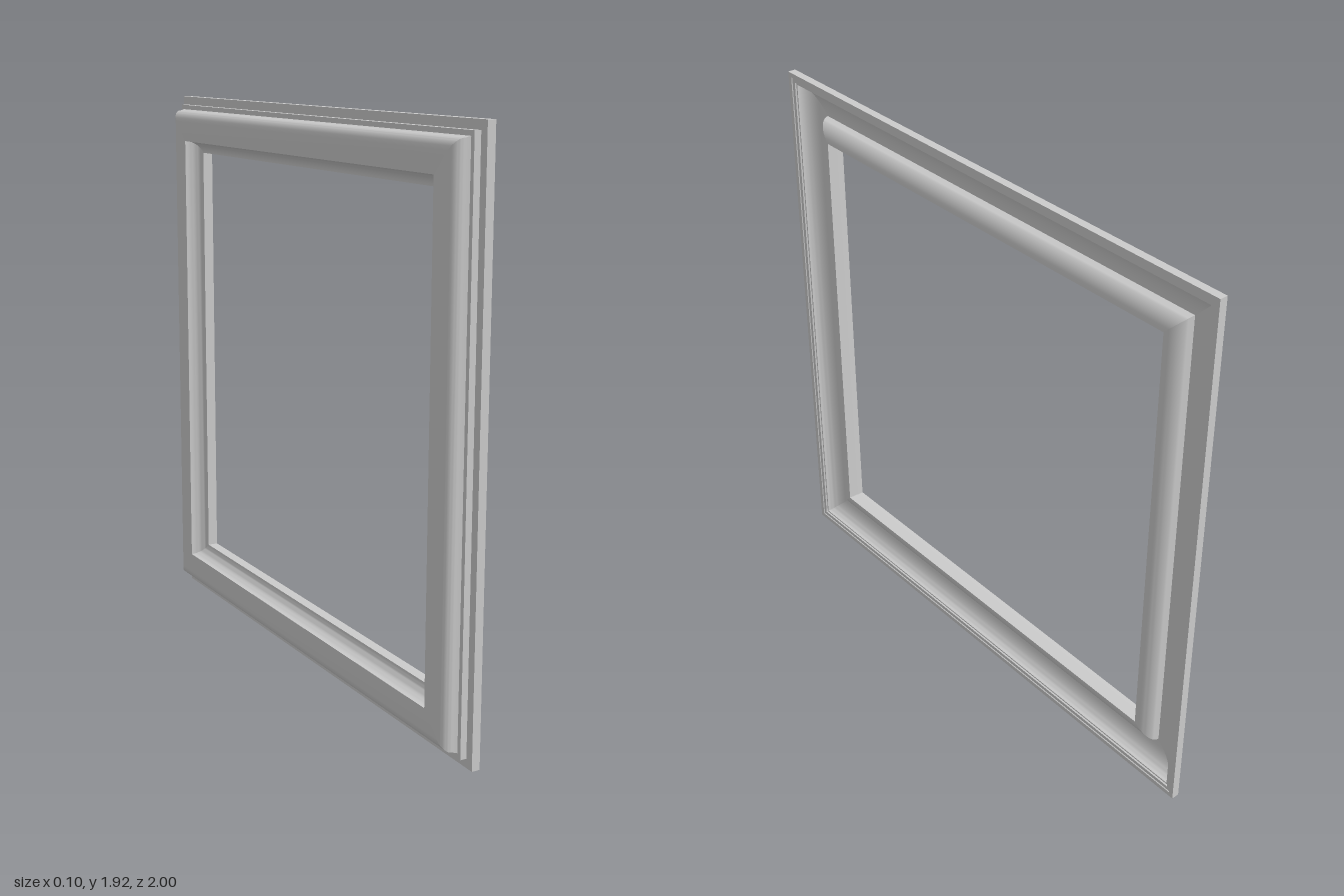
import * as THREE from 'three';
import { toCreasedNormals } from 'three/addons/utils/BufferGeometryUtils.js';

const HEIGHT = 1.925, DEPTH = 2;

// Quarter ellipse points [inset, x] around a centre, between two angles in degrees
function arc(ct, cx, rt, rx, from, to, n = 12) {
  return Array.from({ length: n + 1 }, (_, i) => {
    const a = THREE.MathUtils.degToRad(from + (to - from) * i / n);
    return [ct + rt * Math.cos(a), cx + rx * Math.sin(a)];
  });
}

// Moulding section: inset from the outer edge towards the opening, and x
const profile = [
  // face: stepped outer fillet, cove, then ovolo up to the opening
  [0, 0.05], [0.016, 0.05], [0.018, 0.047], [0.031, 0.047], [0.033, 0.042],
  ...arc(0.13, 0.042, 0.092, 0.052, 180, 270),
  ...arc(0.2, -0.01, 0.065, 0.052, 180, 90),
  // back: hollow behind the ovolo, flat, rounded shoulder, rebate steps
  ...arc(0.2, -0.048, 0.042, 0.054, 90, 180),
  ...arc(0.088, -0.015, 0.038, 0.035, 270, 180),
  [0.046, 0], [0.03, 0], [0.03, 0.022], [0, 0.022],
];

// Corners as signs of y and z, anticlockwise seen from +x
const corners = [[-1, 1], [-1, -1], [1, -1], [1, 1]];

function cornerPoint([sy, sz], [t, x]) {
  return [x, HEIGHT / 2 + sy * (HEIGHT / 2 - t), sz * (DEPTH / 2 - t)];
}

// One length of moulding, mitred at both corners
function railGeometry(a, b) {
  const positions = [];
  profile.forEach((p, i) => {
    const q = profile[(i + 1) % profile.length];
    const a0 = cornerPoint(a, p), b0 = cornerPoint(b, p);
    const a1 = cornerPoint(a, q), b1 = cornerPoint(b, q);
    positions.push(...a0, ...b0, ...b1, ...a0, ...b1, ...a1);
  });
  const geometry = new THREE.BufferGeometry();
  geometry.setAttribute('position', new THREE.Float32BufferAttribute(positions, 3));
  return toCreasedNormals(geometry, Math.PI / 6);
}

export function createModel() {
  const frame = new THREE.Group();
  frame.name = 'mouldedFrame';
  const material = new THREE.MeshStandardMaterial({ color: 0xcccccc });
  ['bottomRail', 'backStile', 'topRail', 'frontStile'].forEach((name, i) => {
    const rail = new THREE.Mesh(railGeometry(corners[i], corners[(i + 1) % 4]), material);
    rail.name = name;
    frame.add(rail);
  });
  return frame;
}
